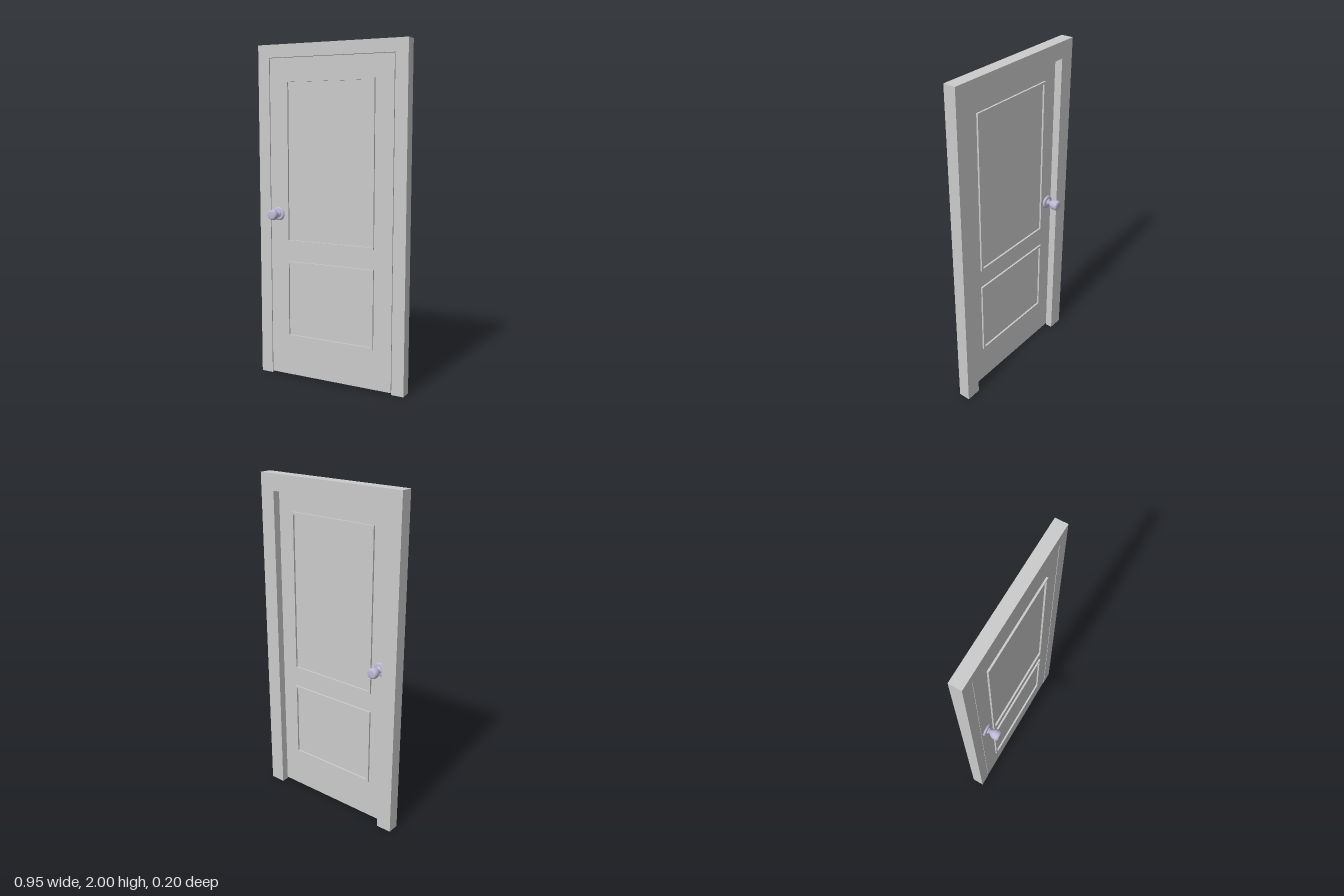
import * as THREE from 'three';

const grey = new THREE.MeshStandardMaterial({ color: 0xcccccc });
const metal = new THREE.MeshStandardMaterial({ color: 0xbfb9d6 });

const FRONT = 0.012, BACK = -0.06;          // faces of the frame
const LEAF_FRONT = 0.011, LEAF_BACK = -0.015;

function polygon(points) {
  return new THREE.Shape(points.map(([x, y]) => new THREE.Vector2(x, y)));
}

// Arch of two jambs and a lintel, open on its underside
function archGeometry(openHalf, openTop, z0, z1) {
  const shape = polygon([
    [-0.475, 0], [-0.475, 2], [0.475, 2], [0.475, 0],
    [openHalf, 0], [openHalf, openTop], [-openHalf, openTop], [-openHalf, 0],
  ].reverse());
  const source = new THREE.ExtrudeGeometry(shape, { depth: z1 - z0, bevelEnabled: false }).translate(0, 0, z0);
  const p = source.attributes.position;
  const kept = [];
  for (let i = 0; i < p.count; i += 3) {
    const onFloor = [0, 1, 2].every((k) => Math.abs(p.getY(i + k)) < 1e-5);
    if (!onFloor) for (let k = 0; k < 3; k++) kept.push(p.getX(i + k), p.getY(i + k), p.getZ(i + k));
  }
  const geometry = new THREE.BufferGeometry();
  geometry.setAttribute('position', new THREE.Float32BufferAttribute(kept, 3));
  geometry.computeVertexNormals();
  return geometry;
}

// Thin raised rectangular border
function mouldingGeometry(half, y0, y1, depth) {
  const w = 0.013;
  const rect = (h, a, b) => [[-h, a], [h, a], [h, b], [-h, b]];
  const shape = polygon(rect(half, y0, y1));
  shape.holes.push(polygon(rect(half - w, y0 + w, y1 - w).reverse()));
  return new THREE.ExtrudeGeometry(shape, { depth, bevelEnabled: false });
}

function add(parent, name, geometry, material) {
  const mesh = new THREE.Mesh(geometry, material);
  mesh.name = name;
  parent.add(mesh);
  return mesh;
}

function lathe(points) {
  return new THREE.LatheGeometry(points.map(([r, h]) => new THREE.Vector2(r, h)), 32);
}

// Knob with its plate and neck, growing along +z from z = 0
function makeKnob() {
  const knob = new THREE.Group();
  const parts = {
    rosette: [[0.04, 0], [0.04, 0.004], [0.038, 0.008], [0.033, 0.011], [0.02, 0.012], [0, 0.012]],
    neck: [[0.02, 0.012], [0.02, 0.016], [0.018, 0.02], [0.011, 0.023], [0.0105, 0.03]],
    grip: [[0.0105, 0.024], [0.015, 0.028], [0.02, 0.034], [0.025, 0.042], [0.029, 0.051],
      [0.031, 0.06], [0.031, 0.064], [0.0295, 0.0655], [0.0295, 0.067], [0.031, 0.0685],
      [0.031, 0.074], [0.029, 0.081], [0.025, 0.086], [0.018, 0.088], [0, 0.088]],
  };
  for (const [name, points] of Object.entries(parts)) {
    add(knob, name, lathe(points).rotateX(Math.PI / 2), metal);
  }
  return knob;
}

export function createModel() {
  const model = new THREE.Group();
  model.name = 'door';

  // Frame: wider opening in front holds the leaf, narrower one behind is the stop
  const frame = new THREE.Group();
  frame.name = 'doorFrame';
  add(frame, 'frontFrame', archGeometry(0.4, 1.925, LEAF_BACK, FRONT), grey);
  add(frame, 'backStop', archGeometry(0.382, 1.905, BACK, LEAF_BACK), grey);
  model.add(frame);

  // Leaf, with a narrow gap to the frame
  const leaf = add(model, 'doorLeaf', new THREE.BoxGeometry(0.792, 1.911, LEAF_FRONT - LEAF_BACK), grey);
  leaf.position.set(0, 0.9655, (LEAF_FRONT + LEAF_BACK) / 2);

  // Mouldings and knobs on both faces
  for (const side of ['front', 'back']) {
    const front = side === 'front';
    const face = new THREE.Group();
    face.name = side + 'Face';

    const upper = add(face, 'upperMoulding', mouldingGeometry(0.284, 0.837, 1.796, 0.011), grey);
    const lower = add(face, 'lowerMoulding', mouldingGeometry(0.284, 0.25, 0.72, 0.011), grey);
    upper.position.z = lower.position.z = 0;

    const knob = makeKnob();
    knob.name = 'knob';
    knob.position.set(front ? -0.343 : 0.343, 1.005, 0);
    face.add(knob);

    face.position.z = front ? LEAF_FRONT : LEAF_BACK;
    if (!front) face.rotation.y = Math.PI;
    model.add(face);
  }
  return model;
}
